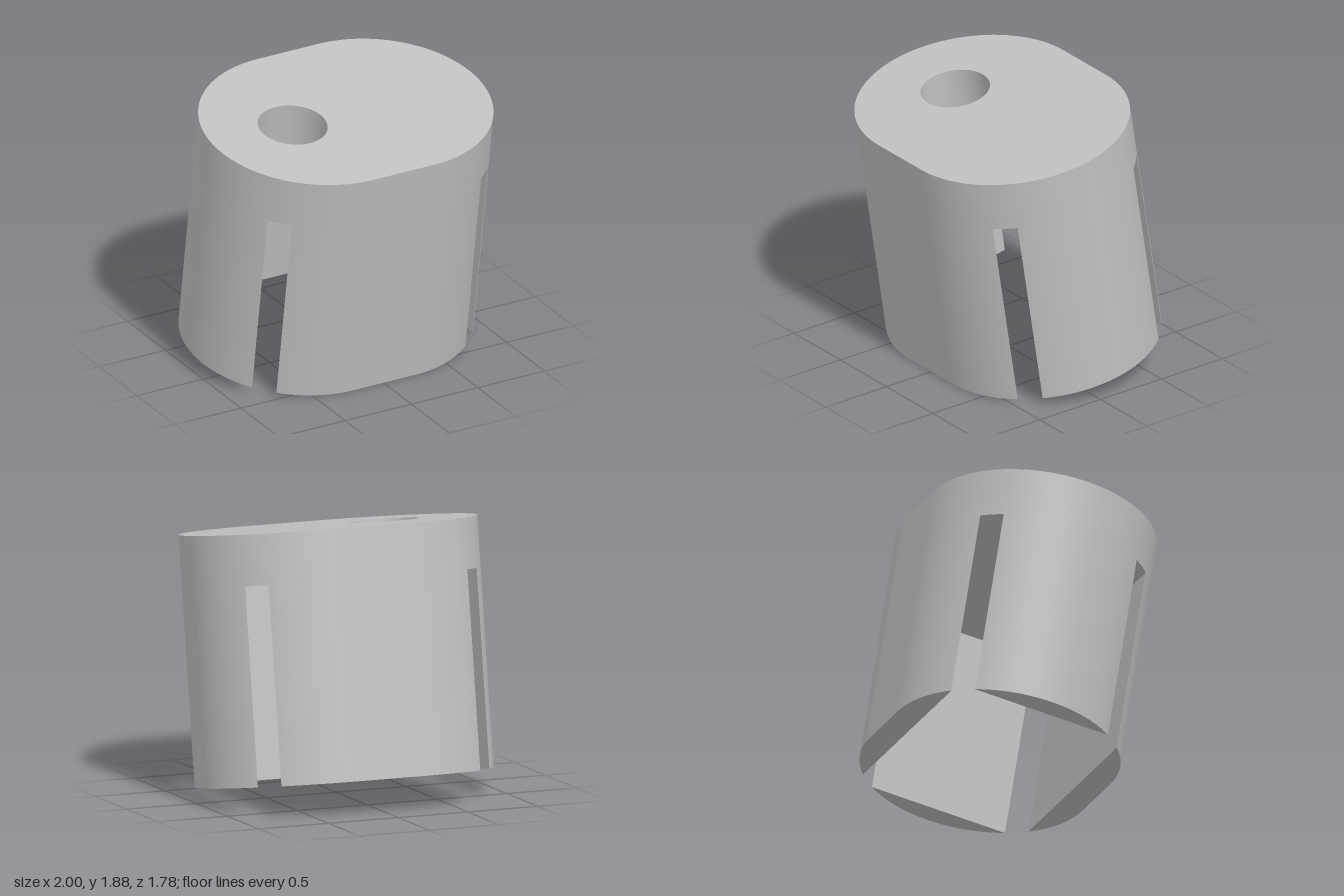
import * as THREE from 'three';
import { toCreasedNormals } from 'three/addons/utils/BufferGeometryUtils.js';

const R = 0.77;          // end radius of the rounded outline
const C = 0.23;          // offset of the end centres
const CUT = 0.6;         // distance of the flat inner leg faces from the end centres
const HEIGHT = 1.66;
const LEG = 1.32;        // leg length below the cap

// Extrude an outline upwards between two heights, keeping edges sharp
function prism(shape, y0, y1) {
  const geo = new THREE.ExtrudeGeometry(shape, { depth: y1 - y0, bevelEnabled: false, curveSegments: 24 });
  geo.rotateX(-Math.PI / 2);
  geo.translate(0, y0 - HEIGHT / 2, 0);
  return toCreasedNormals(geo, 0.5);
}

export function createModel() {
  const model = new THREE.Group();
  const body = new THREE.Group();
  body.name = 'tiltedBody';
  const grey = new THREE.MeshStandardMaterial({ color: 0xc0c0c0 });
  grey.name = 'grey';

  const add = (name, geo, turn = 0) => {
    const mesh = new THREE.Mesh(geo, grey);
    mesh.name = name;
    mesh.rotation.y = turn;
    body.add(mesh);
  };

  // Solid cap with an off-centre through hole
  const outline = new THREE.Shape();
  outline.absarc(C, 0, R, -Math.PI / 2, Math.PI / 2, false);
  outline.absarc(-C, 0, R, Math.PI / 2, Math.PI * 1.5, false);
  outline.closePath();
  const hole = new THREE.Path();
  hole.absarc(-0.4, 0, 0.23, 0, Math.PI * 2, true);
  outline.holes.push(hole);
  add('cap', prism(outline, LEG, HEIGHT));

  // Wide legs at front and back
  const a = Math.asin(CUT / R);
  const wide = new THREE.Shape();
  wide.absarc(C, 0, R, a, Math.PI / 2, false);
  wide.absarc(-C, 0, R, Math.PI / 2, Math.PI - a, false);
  wide.closePath();
  const wideGeo = prism(wide, 0, LEG);
  add('backLeg', wideGeo);
  add('frontLeg', wideGeo, Math.PI);

  // Round legs at both sides
  const b = Math.acos(CUT / R);
  const side = new THREE.Shape();
  side.absarc(C, 0, R, -b, b, false);
  side.closePath();
  const sideGeo = prism(side, 0, LEG);
  add('leftLeg', sideGeo);
  add('rightLeg', sideGeo, Math.PI);

  // Lean the whole body forward
  body.rotation.x = THREE.MathUtils.degToRad(9);
  body.position.y = 0.94;
  model.add(body);
  return model;
}
